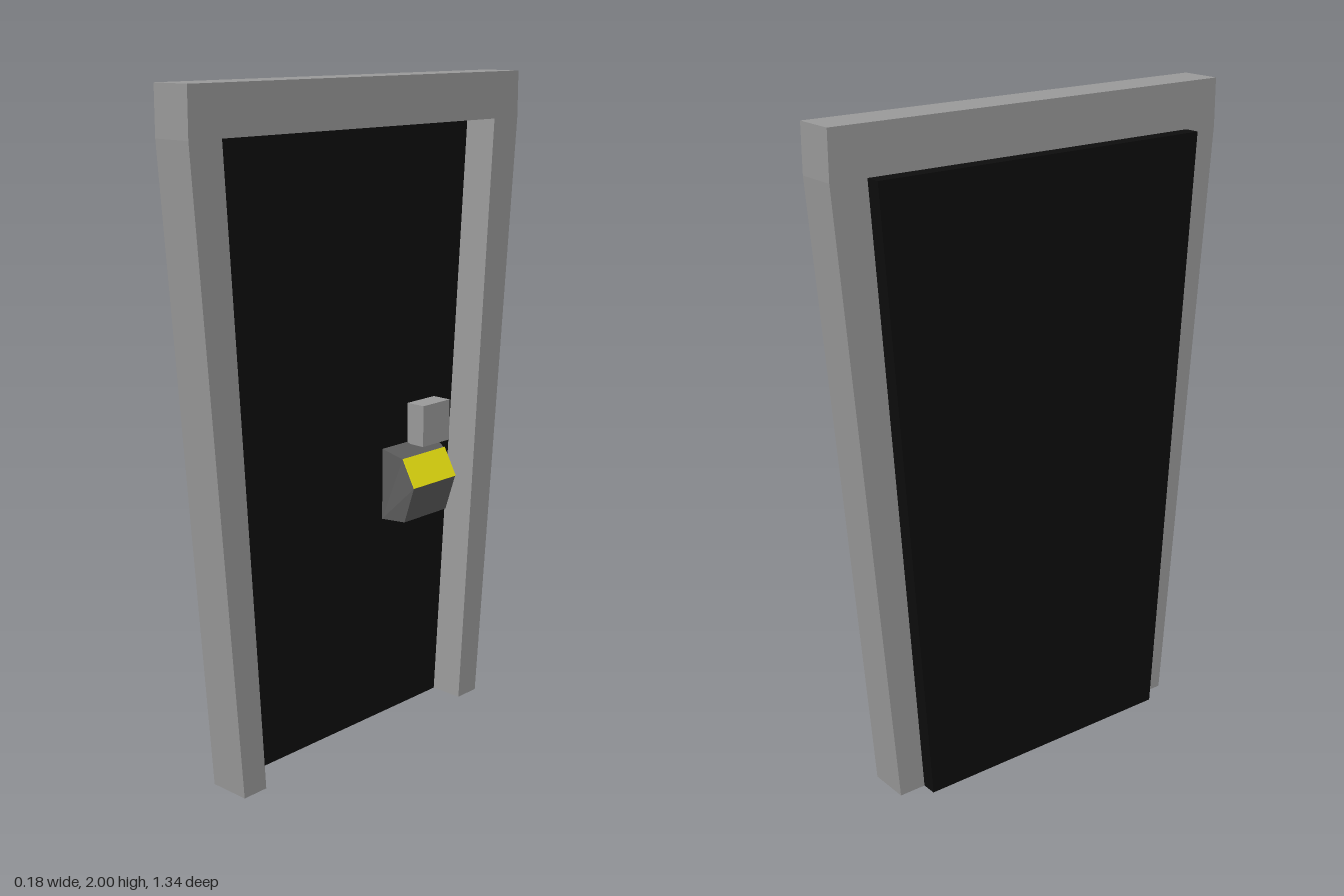
import * as THREE from 'three';

const flat = (name, color) => new THREE.MeshStandardMaterial({ name, color });

// Outline given as [z, y] points, extruded along x from x0 to x1
function slab(points, x0, x1) {
  const shape = new THREE.Shape(points.map(([z, y]) => new THREE.Vector2(z, y)));
  const g = new THREE.ExtrudeGeometry(shape, { depth: x1 - x0, bevelEnabled: false });
  g.rotateY(Math.PI / 2);
  g.translate(x0, 0, 0);
  return g;
}

// Side profile given as [x, y] points, spread along z; narrower toward the front
function taperedPrism(points, z, backHalf, frontHalf) {
  const shape = new THREE.Shape(points.map(([x, y]) => new THREE.Vector2(x, y)));
  const g = new THREE.ExtrudeGeometry(shape, { depth: 2, bevelEnabled: false });
  g.translate(0, 0, -1);
  const p = g.attributes.position;
  for (let i = 0; i < p.count; i++) {
    const half = p.getX(i) < 0 ? backHalf : frontHalf;
    p.setZ(i, z + p.getZ(i) * half);
  }
  g.computeVertexNormals();
  return g;
}

export function createModel() {
  const model = new THREE.Group();
  model.name = 'door';

  const grey = flat('frame grey', 0x999999);
  const black = flat('panel black', 0x0d0d0d);
  const darkGrey = flat('lock dark grey', 0x5c5c5c);
  const yellow = flat('screen yellow', 0xe6df10);

  const add = (name, geometry, material) => {
    const mesh = new THREE.Mesh(geometry, material);
    mesh.name = name;
    model.add(mesh);
  };

  // Frame: two leaning jambs and a lintel, open at the bottom
  add('frame', slab([
    [-0.52, 0], [-0.435, 0], [-0.557, 1.86], [0.557, 1.86], [0.435, 0],
    [0.52, 0], [0.67, 1.86], [0.67, 2], [-0.67, 2], [-0.67, 1.86],
  ], -0.047, 0.081), grey);

  // Door panel, set back in the opening and proud of the rear
  add('panel', slab([
    [-0.435, 0], [0.435, 0], [0.557, 1.86], [-0.557, 1.86],
  ], -0.094, -0.025), black);

  // Lock housing with sloping upper face
  const lockZ = -0.2925;
  add('lockHousing', taperedPrism([
    [-0.025, 0.65], [0.05, 0.65], [0.087, 0.765], [0.04, 0.85], [-0.025, 0.875],
  ], lockZ, 0.1175, 0.098), darkGrey);

  // Thin screen lying on the sloping face
  add('lockScreen', taperedPrism([
    [0.087, 0.765], [0.09, 0.767], [0.043, 0.852], [0.04, 0.85],
  ], lockZ, 0.098, 0.098), yellow);

  // Small box above the lock
  const box = new THREE.BoxGeometry(0.065, 0.13, 0.125);
  box.translate(0.0075, 0.935, -0.3525);
  add('upperBox', box, grey);

  return model;
}
